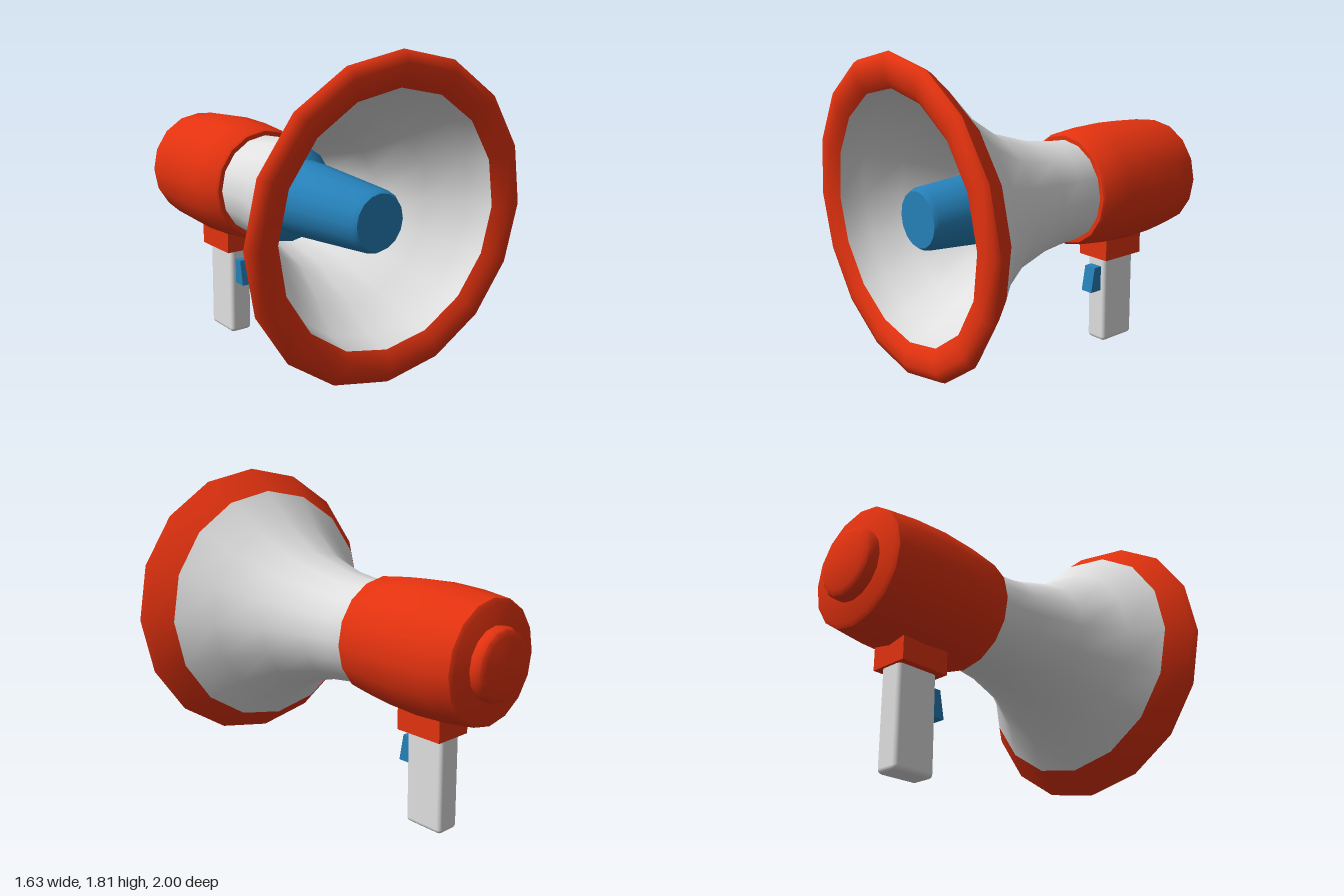
import * as THREE from 'three';
import { toCreasedNormals } from 'three/addons/utils/BufferGeometryUtils.js';
import { RoundedBoxGeometry } from 'three/addons/geometries/RoundedBoxGeometry.js';

const AXIS_Y = 0.98;

export function createModel() {
  const model = new THREE.Group();
  model.name = 'megaphone';

  const mat = (name, color) => {
    const m = new THREE.MeshStandardMaterial({ color });
    m.name = name;
    return m;
  };
  const red = mat('red', 0xe3320f);
  const white = mat('white', 0xe0e0e0);
  const blue = mat('blue', 0x2580b8);

  const add = (name, geometry, material, x = 0, y = 0, z = 0) => {
    const mesh = new THREE.Mesh(geometry, material);
    mesh.name = name;
    mesh.position.set(x, y, z);
    model.add(mesh);
    return mesh;
  };

  // Turned part along z from [z, radius] pairs, listed back to front on the outside
  const turned = (profile, segments = 16) =>
    new THREE.LatheGeometry(profile.map(([z, r]) => new THREE.Vector2(r, z)), segments)
      .rotateX(Math.PI / 2);

  // The mouth of the horn leans a little up and to one side
  const lean = (geometry) => {
    const p = geometry.attributes.position;
    for (let i = 0; i < p.count; i++) {
      const x = p.getX(i), y = p.getY(i), z = p.getZ(i);
      const k = THREE.MathUtils.smoothstep(z, 0.4, 0.77);
      p.setXYZ(i, x, y + 0.015 * k, z + k * (0.04 * x + 0.035 * y));
    }
    return geometry;
  };
  const smooth = (geometry, angle = 0.75) => toCreasedNormals(geometry, angle);

  // Horn: outer skin, red lip, inner skin
  add('hornOuter', smooth(lean(turned([
    [-0.2, 0.283], [-0.03, 0.293], [0.12, 0.312], [0.385, 0.388], [0.615, 0.535], [0.77, 0.69],
  ]))), white, 0, AXIS_Y);
  add('hornRim', smooth(lean(turned([
    [0.77, 0.69], [0.885, 0.79], [0.92, 0.813], [0.945, 0.8], [0.96, 0.755], [0.955, 0.69], [0.92, 0.64],
  ])), 0.95), red, 0, AXIS_Y);
  add('hornInner', smooth(lean(turned([
    [0.92, 0.64], [0.79, 0.61], [0.615, 0.495], [0.385, 0.35], [0.12, 0.275], [-0.05, 0.255],
  ]))), white, 0, AXIS_Y);

  // Sound cone inside the horn, standing on a plate that closes the throat
  add('soundCone', smooth(turned([
    [0.1, 0.27], [0.15, 0.23], [0.17, 0.205], [0.3, 0.2], [0.8, 0.16], [0.825, 0.145], [0.825, 0],
  ])), blue, 0, AXIS_Y);

  // Barrel-shaped body and rear button
  add('body', smooth(turned([
    [-0.93, 0], [-0.93, 0.3], [-0.915, 0.322], [-0.75, 0.343], [-0.56, 0.352],
    [-0.36, 0.343], [-0.175, 0.322], [-0.163, 0.31], [-0.163, 0.27],
  ])), red, 0, AXIS_Y);
  add('rearButton', smooth(turned([
    [-1, 0], [-1, 0.15], [-0.985, 0.18], [-0.96, 0.19], [-0.92, 0.19],
  ])), red, 0, AXIS_Y);

  // Grip under the body
  add('gripMount', new THREE.BoxGeometry(0.22, 0.17, 0.29), red, 0, 0.615, -0.545);
  add('grip', new RoundedBoxGeometry(0.14, 0.56, 0.245, 3, 0.025), white, 0, 0.28, -0.552);

  // Trigger: wedge that leans forward at the bottom
  const side = new THREE.Shape([
    [0.45, 0.475], [0.378, 0.475], [0.35, 0.325], [0.45, 0.325],
  ].map(([z, y]) => new THREE.Vector2(z, y)));
  const trigger = new THREE.ExtrudeGeometry(side, { depth: 0.08, bevelEnabled: false })
    .translate(0, 0, -0.04).rotateY(Math.PI / 2);
  add('trigger', trigger, blue);

  return model;
}
